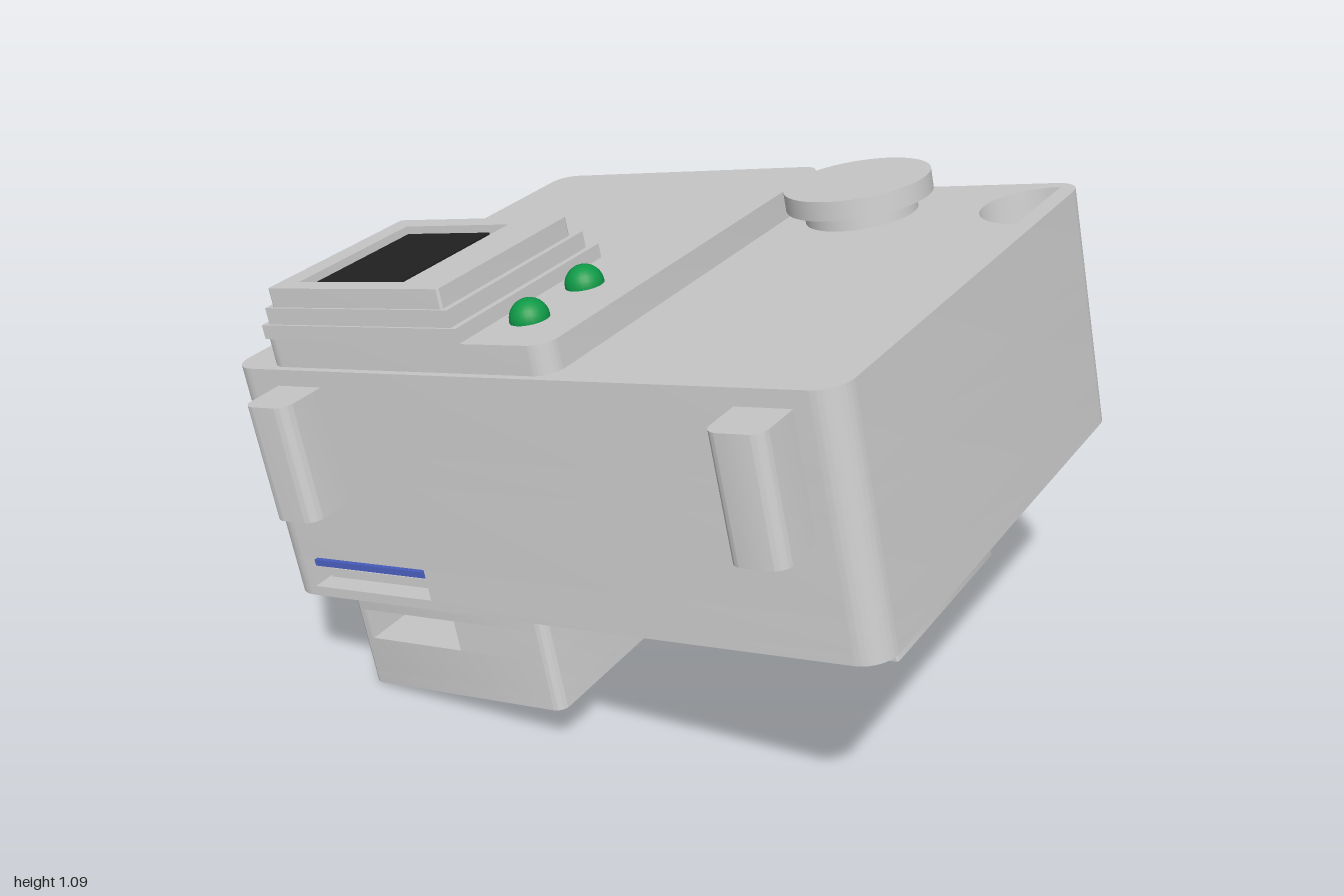
import * as THREE from 'three';
import { toCreasedNormals } from 'three/addons/utils/BufferGeometryUtils.js';

const material = (color) => new THREE.MeshStandardMaterial({ color });
const grey = material(0xcccccc);

function mesh(name, geometry, parent, mat = grey) {
  const m = new THREE.Mesh(geometry, mat);
  m.name = name;
  parent.add(m);
  return m;
}

// Plan outline (x, -z) of a rounded rectangle, with optional notches in its front and left edges.
function outline(x0, x1, z0, z1, r, { front, left } = {}) {
  const s = new THREE.Shape();
  const b = -z1, t = -z0;
  s.moveTo(x0 + r, b);
  if (front) {
    const [a, c, d] = front;
    s.lineTo(a, b); s.lineTo(a, b + d); s.lineTo(c, b + d); s.lineTo(c, b);
  }
  s.lineTo(x1 - r, b);
  s.absarc(x1 - r, b + r, r, -Math.PI / 2, 0);
  s.absarc(x1 - r, t - r, r, 0, Math.PI / 2);
  s.absarc(x0 + r, t - r, r, Math.PI / 2, Math.PI);
  if (left) {
    const [a, c, d] = left;
    s.lineTo(x0, -a); s.lineTo(x0 + d, -a); s.lineTo(x0 + d, -c); s.lineTo(x0, -c);
  }
  s.absarc(x0 + r, b + r, r, Math.PI, Math.PI * 1.5);
  return s;
}

function rectHole(x0, x1, z0, z1) {
  return new THREE.Path([[x0, -z0], [x0, -z1], [x1, -z1], [x1, -z0]].map((p) => new THREE.Vector2(...p)));
}

// Horizontal slab of a plan outline between two heights.
function slab(name, shape, y0, y1, parent, holes = []) {
  shape.holes.push(...holes);
  const g = new THREE.ExtrudeGeometry(shape, { depth: y1 - y0, bevelEnabled: false, curveSegments: 8 });
  g.rotateX(-Math.PI / 2).translate(0, y0, 0);
  return mesh(name, toCreasedNormals(g, 0.6), parent);
}

function box(name, x0, x1, y0, y1, z0, z1, parent, mat) {
  const m = mesh(name, new THREE.BoxGeometry(x1 - x0, y1 - y0, z1 - z0), parent, mat);
  m.position.set((x0 + x1) / 2, (y0 + y1) / 2, (z0 + z1) / 2);
  return m;
}

function cylinder(name, r, h, x, y, z, parent) {
  const m = mesh(name, new THREE.CylinderGeometry(r, r, h, 48), parent);
  m.position.set(x, y, z);
  return m;
}

export function createModel() {
  const root = new THREE.Group();
  root.name = 'device';

  // The whole device is tilted
  const tilted = new THREE.Group();
  tilted.name = 'tiltedDevice';
  const ex = new THREE.Vector3(0.972, 0.228, -0.056).normalize();
  const ez = new THREE.Vector3(0.06, -0.01, 0.998);
  const ey = ez.clone().cross(ex).normalize();
  ez.crossVectors(ex, ey);
  tilted.quaternion.setFromRotationMatrix(new THREE.Matrix4().makeBasis(ex, ey, ez));
  tilted.position.set(0.227, 0.656, -0.003);
  root.add(tilted);

  // Main housing in layers, with slots in the front and left and a D-shaped well on top
  const body = new THREE.Group();
  body.name = 'housing';
  tilted.add(body);
  const plan = (notch) => outline(-0.705, 0.705, -0.565, 0.565, 0.06, notch);
  const well = new THREE.Path();
  well.absarc(0.665, 0.415, 0.12, Math.PI / 2, Math.PI * 1.5);
  well.closePath();
  slab('housingFloor', plan(), -0.26, -0.238, body);
  slab('housingFrontSlotLayer', plan({ front: [-0.63, -0.31, 0.25] }), -0.238, -0.168, body);
  slab('housingMiddle', plan(), -0.168, 0.02, body);
  slab('housingSideSlotLayer', plan({ left: [-0.05, 0.34, 0.2] }), 0.02, 0.085, body);
  slab('housingTop', plan(), 0.085, 0.26, body, [well]);
  const blue = material(0x4a5fc0);
  box('frontSlotBoard', -0.63, -0.31, -0.197, -0.183, 0.32, 0.55, body, blue);
  box('frontSlotConnector', -0.6, -0.33, -0.225, -0.205, 0.32, 0.54, body);
  box('sideSlotBoard', -0.68, -0.5, 0.035, 0.047, -0.05, 0.34, body, blue);

  // Raised panel on top
  slab('topPanel', outline(-0.61, 0.11, -0.55, 0.55, 0.045), 0.26, 0.32, tilted);

  // Stepped display with a recessed screen
  const display = new THREE.Group();
  display.name = 'display';
  tilted.add(display);
  box('displayBase', -0.595, -0.09, 0.32, 0.35, 0.06, 0.55, display);
  box('displayStep', -0.578, -0.105, 0.35, 0.385, 0.085, 0.545, display);
  slab('displayFrame', outline(-0.562, -0.12, 0.11, 0.54, 0.005), 0.385, 0.425, display,
    [rectHole(-0.51, -0.235, 0.155, 0.5)]);
  box('screen', -0.505, -0.285, 0.385, 0.41, 0.16, 0.495, display, material(0x222222));
  const board = material(0x2f78a0);
  box('screenEdgeRear', -0.285, -0.235, 0.385, 0.405, 0.155, 0.25, display, board);
  box('screenEdgeMiddle', -0.285, -0.235, 0.385, 0.405, 0.25, 0.4, display, material(0x8a8a78));
  box('screenEdgeFront', -0.285, -0.235, 0.385, 0.405, 0.4, 0.5, display, board);

  // Green buttons
  const green = material(0x0f9a48);
  for (const z of [0.225, 0.415]) {
    mesh('button', new THREE.SphereGeometry(0.04, 24, 16), tilted, green).position.set(-0.02, 0.322, z);
  }

  // Round knob on top and round cover underneath
  cylinder('knobStem', 0.12, 0.05, 0.28, 0.275, -0.385, tilted);
  cylinder('knob', 0.157, 0.042, 0.28, 0.315, -0.385, tilted);
  cylinder('bottomCover', 0.157, 0.05, 0.36, -0.28, -0.37, tilted);

  // Side tube with a wider cap
  cylinder('tube', 0.12, 0.5, -0.94, -0.065, -0.375, tilted).rotation.z = Math.PI / 2;
  cylinder('tubeCap', 0.136, 0.045, -1.2, -0.065, -0.375, tilted).rotation.z = Math.PI / 2;

  // Latches, two on each long side
  for (const side of [-1, 1]) {
    for (const x of [-0.52, 0.555]) {
      const z = [side * 0.52, side * 0.675].sort((a, b) => a - b);
      slab('latch', outline(x - 0.058, x + 0.058, z[0], z[1], 0.03), -0.025, 0.225, tilted);
    }
  }

  // Two-step sensor plate underneath, with a rim and two dark windows
  const sensor = new THREE.Group();
  sensor.name = 'sensorPlate';
  tilted.add(sensor);
  box('sensorBase', 0.1, 0.665, -0.305, -0.26, -0.06, 0.42, sensor);
  slab('sensorRim', outline(0.13, 0.64, -0.04, 0.4, 0.005), -0.345, -0.305, sensor,
    [rectHole(0.15, 0.62, -0.02, 0.38)]);
  box('sensorFace', 0.15, 0.62, -0.33, -0.305, -0.02, 0.38, sensor);
  for (const z of [0.07, 0.29]) {
    box('sensorWindow', 0.19, 0.25, -0.334, -0.32, z - 0.04, z + 0.04, sensor, material(0x000055));
  }

  // Lower compartment with a front slot and a long groove underneath
  const lower = new THREE.Group();
  lower.name = 'lowerCompartment';
  tilted.add(lower);
  const lowPlan = (notch) => outline(-0.635, -0.115, -0.43, 0.47, 0.025, notch);
  slab('lowerFloor', lowPlan(), -0.525, -0.495, lower, [rectHole(-0.19, -0.15, -0.34, 0.39)]);
  slab('lowerWall', lowPlan(), -0.495, -0.412, lower);
  slab('lowerSlotLayer', lowPlan({ front: [-0.6, -0.355, 0.2] }), -0.412, -0.342, lower);
  slab('lowerTop', lowPlan(), -0.342, -0.26, lower);

  // Pierced lug on the compartment
  const lug = outline(-0.125, 0.038, 0.317, 0.485, 0.045);
  const eye = new THREE.Path();
  eye.absarc(-0.038, -0.401, 0.058, 0, Math.PI * 2);
  lug.holes.push(eye);
  const lugGeo = new THREE.ExtrudeGeometry(lug, { depth: 0.175, bevelEnabled: false, curveSegments: 16 });
  mesh('lug', toCreasedNormals(lugGeo, 0.6), tilted).position.z = -0.09;

  return root;
}
